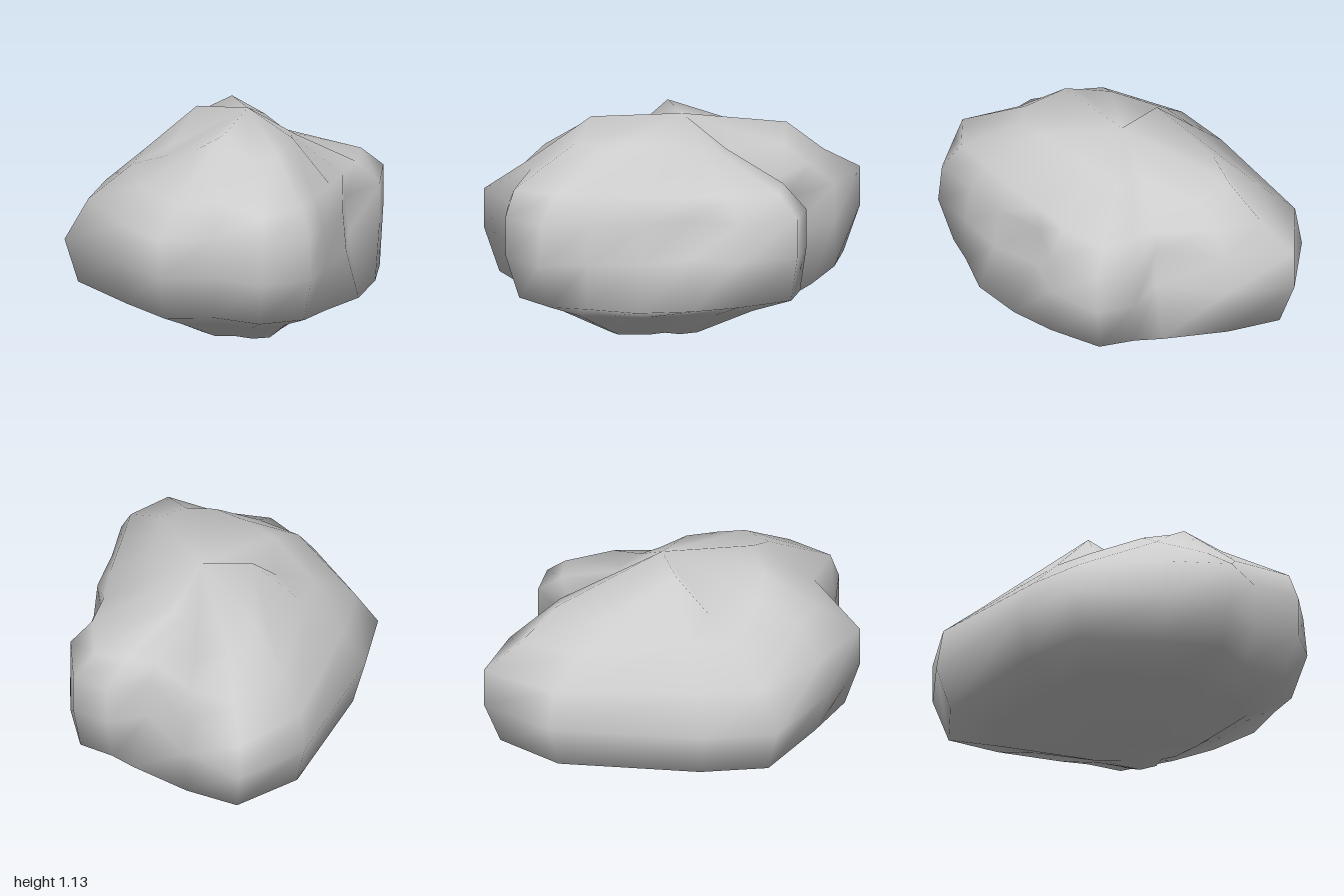
import * as THREE from 'three';

// Vertical ribs running around the boulder, from the back over -x to the front:
// waist x, waist z, scale low down, scale above the waist, shoulder scale, shoulder y, crown scale, crown y
const ribs = [
  [-0.31, -1.00, 0.91, 1.00, 0.80, 0.82, 0.60, 0.99],
  [-0.60, -0.69, 0.92, 0.96, 0.74, 0.83, 0.48, 0.98],
  [-0.78, 0.10, 0.92, 0.86, 0.60, 0.88, 0.25, 1.13],
  [-0.78, 0.49, 0.92, 0.86, 0.60, 0.87, 0.38, 0.95],
  [-0.40, 0.80, 0.92, 0.97, 0.82, 0.87, 0.57, 0.99],
  [-0.12, 1.00, 0.92, 1.00, 0.79, 0.84, 0.50, 1.05],
  [0.15, 0.90, 0.93, 1.00, 0.87, 0.87, 0.51, 1.13],
  [0.43, 0.95, 0.92, 1.00, 0.95, 0.84, 0.59, 1.04],
  [0.65, 0.80, 0.92, 0.98, 0.88, 0.85, 0.56, 1.05],
  [0.66, 0.55, 1.00, 0.97, 0.88, 0.84, 0.55, 1.05],
  [0.69, 0.27, 1.11, 0.97, 0.86, 0.83, 0.52, 1.04],
  [0.62, 0.00, 1.24, 0.97, 0.95, 0.82, 0.50, 1.01],
  [0.72, -0.25, 1.00, 1.00, 0.85, 0.82, 0.42, 0.98],
  [0.65, -0.56, 0.95, 1.00, 0.85, 0.81, 0.38, 0.95],
  [0.46, -0.63, 0.95, 1.00, 0.82, 0.82, 0.38, 0.96],
  [0.25, -0.54, 1.25, 1.00, 0.92, 0.80, 0.45, 0.94],
  [0.00, -0.83, 1.00, 1.00, 0.84, 0.81, 0.68, 0.92],
];

// Rings from the ground to the crown, each one point per rib
const rings = [
  ([x, z]) => [x * 0.36 + 0.06, 0, z * 0.305 + 0.095],
  ([x, z, low]) => [x * 0.7 * low ** 0.5, 0.15, z * 0.69 * low ** 0.5 + 0.03],
  ([x, z, low]) => [x * low, 0.25, z * low],
  ([x, z]) => [x, 0.49, z],
  ([x, z, , up]) => [x * up, 0.7, z * up],
  ([x, z, , , s, y]) => [x * s, y, z * s],
  ([x, z, , , , , s, y]) => [x * s, y, z * s],
];

function boulderGeometry() {
  const n = ribs.length;
  const points = rings.flatMap((ring) => ribs.map(ring));
  const bottom = points.push([0.05, 0, 0.1]) - 1;
  const apex = points.push([0.07, 1.13, -0.02]) - 1;
  const last = (rings.length - 1) * n;
  const index = [];
  for (let i = 0; i < n; i++) {
    const j = (i + 1) % n;
    for (let r = 0; r < last; r += n) {
      index.push(r + i, r + j, r + n + j, r + i, r + n + j, r + n + i);
    }
    index.push(j, i, bottom, last + i, last + j, apex);
  }
  const geometry = new THREE.BufferGeometry();
  geometry.setAttribute('position', new THREE.Float32BufferAttribute(points.flat(), 3));
  geometry.setIndex(index);
  geometry.computeVertexNormals();
  return geometry;
}

export function createModel() {
  const group = new THREE.Group();
  group.name = 'rock';
  const boulder = new THREE.Mesh(
    boulderGeometry(),
    new THREE.MeshStandardMaterial({ color: 0xcccccc })
  );
  boulder.name = 'boulder';
  group.add(boulder);
  return group;
}
